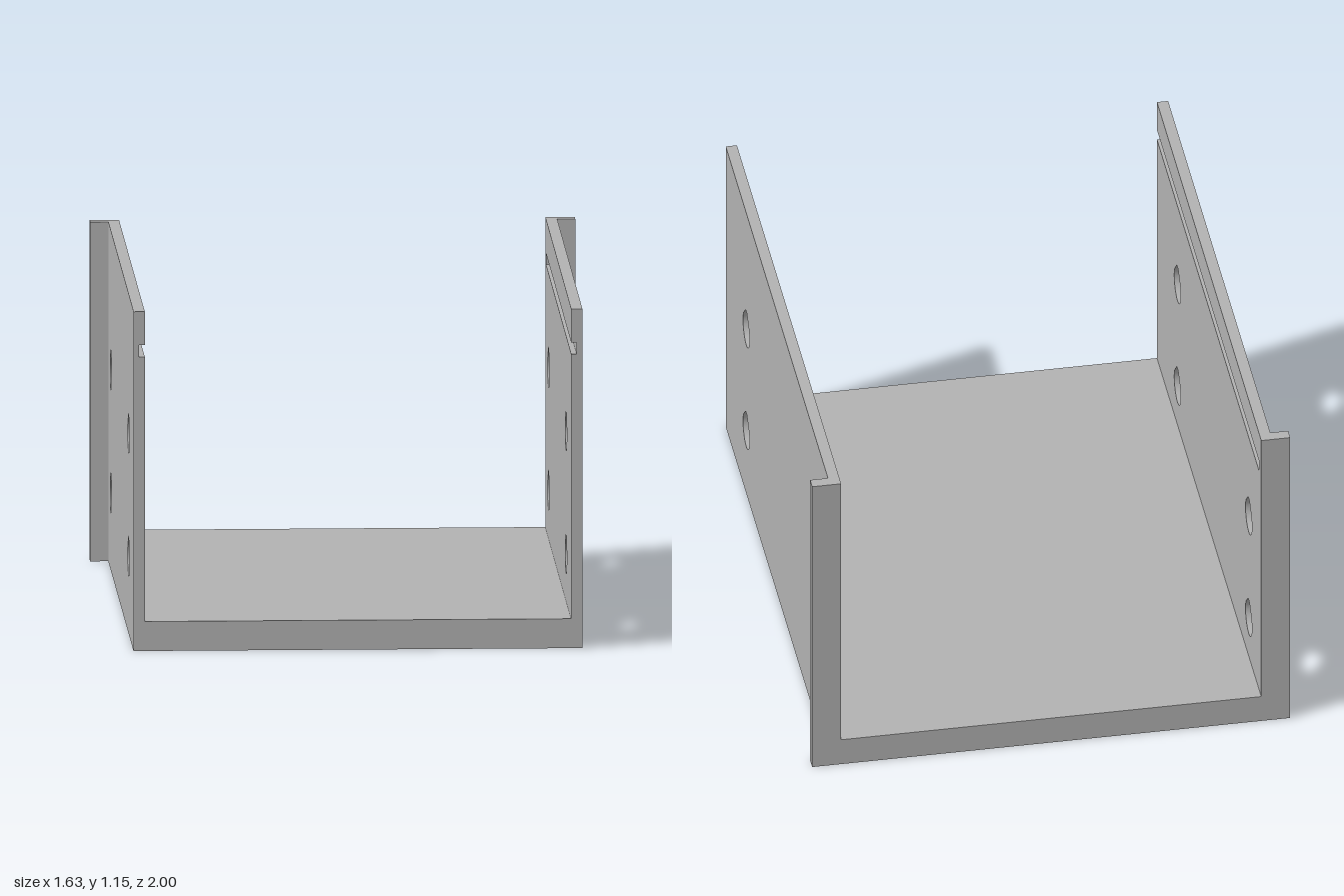
import * as THREE from 'three';

const INNER = 0.717, GROOVE = 0.736, OUTER = 0.755, FLANGE = 0.816;
const HEIGHT = 1.154, FLOOR = 0.1, BACK = -0.96;

function polygon(points) {
  return new THREE.Shape(points.map(([x, y]) => new THREE.Vector2(x, y)));
}

// Round hole with a 45 degree peak cut off flat at the top
function teardrop(z, y, r = 0.062, top = 0.075) {
  const hole = new THREE.Path();
  hole.absarc(z, y, r, Math.PI * 0.75, Math.PI * 0.25, false);
  const half = r * Math.SQRT2 - top;
  hole.lineTo(z + half, y + top);
  hole.lineTo(z - half, y + top);
  hole.closePath();
  return hole;
}

function sideHoles() {
  return [0.607, -0.76].flatMap(z => [0.255, 0.673].map(y => teardrop(z, y)));
}

// Extrudes a (z, y) outline along x, between x0 and x1
function alongX(shape, x0, x1) {
  return new THREE.ExtrudeGeometry(shape, { depth: x1 - x0, bevelEnabled: false, curveSegments: 32 })
    .rotateY(-Math.PI / 2).translate(x1, 0, 0);
}

// Extrudes an (x, z) outline along y, between y0 and y1
function alongY(shape, y0, y1) {
  return new THREE.ExtrudeGeometry(shape, { depth: y1 - y0, bevelEnabled: false, curveSegments: 32 })
    .rotateX(Math.PI / 2).translate(0, y1, 0);
}

export function createModel() {
  const model = new THREE.Group();
  model.name = 'channelBracket';
  const grey = new THREE.MeshStandardMaterial({ color: 0xb2b2b2 });
  grey.name = 'grey';
  const add = (name, geometry, parent = model) => {
    const mesh = new THREE.Mesh(geometry, grey);
    mesh.name = name;
    parent.add(mesh);
  };

  // Floor: the lower layer holds two blind holes beside the left wall
  const plate = () => polygon([[-OUTER, -1], [OUTER, -1], [OUTER, 1], [-OUTER, 1]]);
  const drilled = plate();
  for (const z of [0.68, -0.15]) {
    drilled.holes.push(new THREE.Path().absarc(0.67, z, 0.055, 0, Math.PI * 2, true));
  }
  add('floorUnderside', alongY(drilled, 0, 0.08));
  add('floorTop', alongY(plate(), 0.08, FLOOR));

  // Outer skin of a wall, and inner skin with a lid groove open at the front
  const skin = polygon([[-1, FLOOR], [1, FLOOR], [1, HEIGHT], [-1, HEIGHT]]);
  const grooved = polygon([
    [-1, FLOOR], [1, FLOOR], [1, 1.0], [BACK, 1.0],
    [BACK, 1.04], [1, 1.04], [1, HEIGHT], [-1, HEIGHT],
  ]);
  skin.holes = sideHoles();
  grooved.holes = sideHoles();

  for (const side of [1, -1]) {
    const wall = new THREE.Group();
    wall.name = side > 0 ? 'leftWall' : 'rightWall';
    const span = (shape, a, b) => alongX(shape, Math.min(side * a, side * b), Math.max(side * a, side * b));
    add('innerSkin', span(grooved, INNER, GROOVE), wall);
    add('outerSkin', span(skin, GROOVE, OUTER), wall);
    // Narrow flange along the back edge
    const flange = new THREE.BoxGeometry(FLANGE - OUTER, HEIGHT, BACK + 1);
    flange.translate(side * (FLANGE + OUTER) / 2, HEIGHT / 2, (BACK - 1) / 2);
    add('backFlange', flange, wall);
    model.add(wall);
  }
  return model;
}
